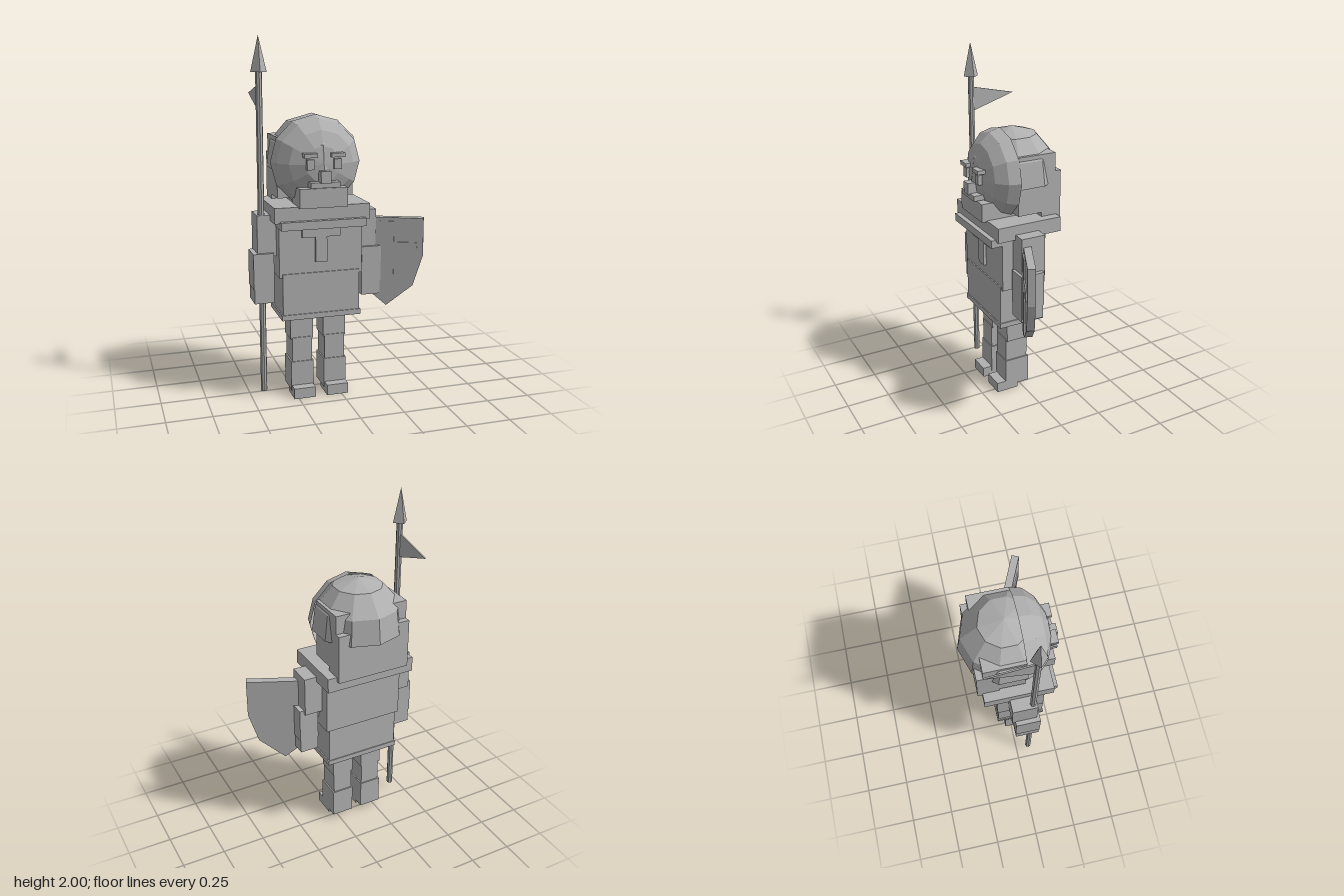
import * as THREE from 'three';

const grey = new THREE.MeshStandardMaterial({ color: 0xb0b0b0, flatShading: true, side: THREE.DoubleSide });
grey.name = 'stone grey';

const CX = -0.12; // centre line of the body

export function createModel() {
  const model = new THREE.Group();
  model.name = 'guard';

  const add = (name, geometry, x = 0, y = 0, z = 0, parent = model) => {
    const mesh = new THREE.Mesh(geometry, grey);
    mesh.name = name;
    mesh.position.set(x, y, z);
    parent.add(mesh);
    return mesh;
  };

  // Box from its limits, x measured from the body centre line
  const box = (name, x0, x1, y0, y1, z0, z1) =>
    add(name, new THREE.BoxGeometry(x1 - x0, y1 - y0, z1 - z0),
      CX + (x0 + x1) / 2, (y0 + y1) / 2, (z0 + z1) / 2);

  // Same box on both sides of the body
  const pair = (name, x0, x1, ...rest) => {
    box('left ' + name, x0, x1, ...rest);
    box('right ' + name, -x1, -x0, ...rest);
  };

  // Legs and feet
  pair('thigh', 0.03, 0.16, 0.33, 0.52, -0.037, 0.1);
  pair('knee', 0.037, 0.152, 0.19, 0.34, -0.032, 0.105);
  pair('shin', 0.03, 0.16, 0.03, 0.2, -0.04, 0.11);
  pair('foot', 0.034, 0.157, 0, 0.06, 0.03, 0.165);

  // Tunic
  box('hem', -0.225, 0.225, 0.47, 0.5, -0.103, 0.178);
  box('skirt', -0.218, 0.218, 0.49, 0.73, -0.098, 0.172);
  box('torso', -0.235, 0.235, 0.71, 1.03, -0.105, 0.165);
  box('chest band', -0.237, 0.237, 0.985, 1.03, 0, 0.233);
  box('collar', -0.267, 0.267, 1.02, 1.105, -0.183, 0.205);
  box('chest bar', -0.11, 0.105, 0.93, 0.985, 0.16, 0.182);
  box('chest stem', -0.035, 0.03, 0.79, 0.935, 0.16, 0.182);

  // Arms
  pair('upper arm', 0.235, 0.34, 0.82, 1.05, -0.043, 0.1);
  pair('forearm', 0.252, 0.366, 0.64, 0.84, -0.025, 0.117);
  pair('hand', 0.252, 0.362, 0.56, 0.65, -0.022, 0.114);

  // Head: block behind, rounded mask in front, dome on top
  box('head block', -0.215, 0.215, 1.13, 1.465, -0.175, 0.055);
  box('neck guard', -0.215, 0.215, 1.08, 1.36, -0.21, -0.09);
  box('neck', -0.13, 0.13, 1.08, 1.15, -0.1, 0.1);
  add('helmet dome',
    new THREE.SphereGeometry(0.255, 10, 3, Math.PI / 2, Math.PI * 2, 0, Math.PI * 0.55),
    CX, 1.33, -0.018);
  const mask = new THREE.SphereGeometry(0.253, 12, 4, 0, Math.PI * 2, 0, Math.PI / 2);
  mask.rotateX(Math.PI / 2).scale(1, 1, 0.69);
  add('face mask', mask, CX, 1.33, 0.053);

  // Face details
  box('chin', -0.135, 0.13, 1.1, 1.205, 0.06, 0.235);
  pair('eye', 0.055, 0.095, 1.305, 1.36, 0.14, 0.237);
  pair('brow', 0.038, 0.112, 1.37, 1.392, 0.14, 0.247);
  box('nose', -0.028, 0.028, 1.235, 1.3, 0.14, 0.268);
  box('mouth', -0.08, 0.08, 1.21, 1.24, 0.14, 0.257);

  // Spear with pennant
  const spear = new THREE.Group();
  spear.name = 'spear';
  spear.position.set(-0.432, 0, 0.077);
  model.add(spear);
  add('spear shaft', new THREE.CylinderGeometry(0.018, 0.018, 1.78, 8), 0, 0.93, 0, spear);
  add('spear head', new THREE.ConeGeometry(0.044, 0.19, 4), 0, 1.905, 0, spear);
  const flag = new THREE.Shape([[0, 1.61], [0.25, 1.69], [0, 1.745]].map(p => new THREE.Vector2(...p)));
  const flagGeometry = new THREE.ExtrudeGeometry(flag, { depth: 0.008, bevelEnabled: false });
  flagGeometry.rotateY(Math.PI / 2);
  add('pennant', flagGeometry, -0.004, 0, -0.015, spear);

  // Shield, turned outward, with a raised cross
  const shield = new THREE.Group();
  shield.name = 'shield';
  shield.position.set(0.298, 0, 0.078);
  shield.rotation.y = -0.427;
  model.add(shield);
  const half = [[0.205, 1], [0.205, 0.785], [0.15, 0.61]];
  const outline = [...half, [0, 0.487], ...half.map(([x, y]) => [-x, y]).reverse()];
  const plate = new THREE.Shape(outline.map(p => new THREE.Vector2(...p)));
  add('shield plate', new THREE.ExtrudeGeometry(plate, { depth: 0.044, bevelEnabled: false }), 0, 0, 0, shield);
  add('shield cross post', new THREE.BoxGeometry(0.08, 0.46, 0.016), 0, 0.75, 0.044, shield);
  add('shield cross bar', new THREE.BoxGeometry(0.34, 0.065, 0.016), 0, 0.828, 0.044, shield);

  return model;
}
